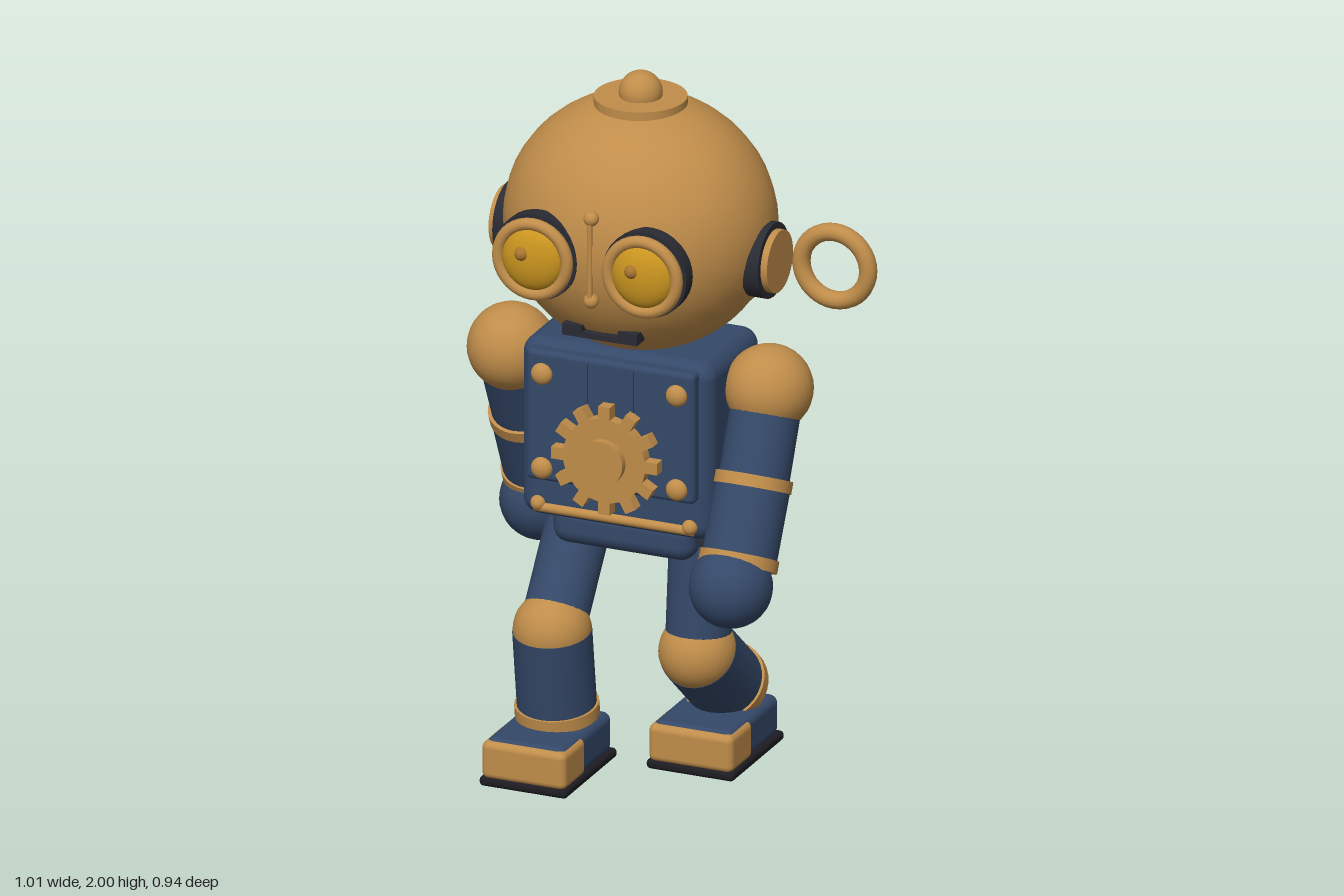
import * as THREE from 'three';
import { RoundedBoxGeometry } from 'three/addons/geometries/RoundedBoxGeometry.js';

const mat = (name, color) => {
  const m = new THREE.MeshStandardMaterial({ color });
  m.name = name;
  return m;
};

export function createModel() {
  const brass = mat('brass', 0xc08d4a);
  const navy = mat('navy', 0x344868);
  const dark = mat('charcoal', 0x2a2b33);
  const sole = mat('sole black', 0x1c1c22);
  const amber = mat('amber', 0xc9941f);
  const copper = mat('copper', 0xa8752f);

  const robot = new THREE.Group();
  robot.name = 'robot';
  const group = (name) => {
    const g = new THREE.Group();
    g.name = name;
    robot.add(g);
    return g;
  };
  const add = (parent, name, geo, material, x = 0, y = 0, z = 0) => {
    const m = new THREE.Mesh(geo, material);
    m.name = name;
    m.position.set(x, y, z);
    parent.add(m);
    return m;
  };
  const ball = (r) => new THREE.SphereGeometry(r, 28, 18);
  const disc = (r, h, axis = 'y') => {
    const g = new THREE.CylinderGeometry(r, r, h, 32);
    if (axis === 'z') g.rotateX(Math.PI / 2);
    if (axis === 'x') g.rotateZ(Math.PI / 2);
    return g;
  };
  const rbox = (w, h, d, r) => new RoundedBoxGeometry(w, h, d, 4, r);
  const up = new THREE.Vector3(0, 1, 0);
  // Cylinder running from a to b
  const limb = (parent, name, a, b, r, material) => {
    const dir = b.clone().sub(a);
    const m = add(parent, name, disc(r, dir.length()), material);
    m.position.copy(a).lerp(b, 0.5);
    m.quaternion.setFromUnitVectors(up, dir.normalize());
    return m;
  };
  // Short collar centred on point p, facing along a to b
  const band = (parent, name, p, a, b, r, h) => {
    const half = b.clone().sub(a).setLength(h / 2);
    limb(parent, name, p.clone().sub(half), p.clone().add(half), r, brass);
  };

  // Head
  const head = group('head');
  add(head, 'skull', new THREE.SphereGeometry(1, 32, 24), brass, 0, 1.57, 0.06).scale.set(0.38, 0.36, 0.345);
  add(head, 'crownPlate', disc(0.128, 0.025), brass, 0, 1.917, 0.06);
  add(head, 'crownKnob', ball(0.06), brass, 0, 1.94, 0.06);
  for (const s of [-1, 1]) {
    add(head, 'earRing', disc(0.106, 0.05, 'x'), dark, s * 0.369, 1.51, 0.06);
    add(head, 'earCap', disc(0.088, 0.05, 'x'), brass, s * 0.388, 1.51, 0.06);
    const x = s * 0.163;
    add(head, 'eyeCup', disc(0.124, 0.042, 'z'), dark, x, 1.555, 0.381);
    add(head, 'eyePlate', disc(0.112, 0.018, 'z'), brass, x, 1.555, 0.409);
    add(head, 'eyeRim', new THREE.TorusGeometry(0.102, 0.017, 12, 36), brass, x, 1.555, 0.418);
    add(head, 'eyeLens', ball(0.09), amber, x, 1.555, 0.415).scale.z = 0.45;
    add(head, 'eyeGlint', ball(0.02), copper, x - 0.02, 1.578, 0.446);
    add(head, 'mouthCorner', new THREE.BoxGeometry(0.058, 0.032, 0.05), dark, s * 0.082, 1.331, 0.312);
  }
  add(head, 'mouthBar', new THREE.BoxGeometry(0.22, 0.015, 0.05), dark, 0, 1.321, 0.312);
  add(head, 'noseRod', disc(0.007, 0.24), brass, 0, 1.57, 0.403);
  for (const y of [1.69, 1.45]) add(head, 'noseBead', ball(0.021), brass, 0, y, 0.393);

  // Torso
  const torso = group('torso');
  add(torso, 'body', rbox(0.57, 0.52, 0.36, 0.05), navy, 0, 0.982, 0.06);
  add(torso, 'pelvis', rbox(0.42, 0.12, 0.29, 0.045), navy, 0, 0.697, 0.06);
  add(torso, 'chestPlate', rbox(0.5, 0.38, 0.05, 0.015), navy, 0, 1.035, 0.245);
  for (const s of [-1, 1]) {
    add(torso, 'chestSeam', new THREE.BoxGeometry(0.008, 0.34, 0.008), navy, s * 0.068, 1.04, 0.272);
    for (const y of [1.16, 0.885]) add(torso, 'rivet', ball(0.031), brass, s * 0.2, y, 0.272).scale.z = 0.7;
    add(torso, 'trimEnd', ball(0.022), brass, s * 0.225, 0.768, 0.238);
  }
  add(torso, 'waistTrim', disc(0.014, 0.47, 'x'), brass, 0, 0.757, 0.238);

  // Chest gear
  const gear = group('chestGear');
  gear.position.set(0, 0.95, 0.29);
  add(gear, 'gearDisc', disc(0.122, 0.035, 'z'), brass);
  add(gear, 'gearHub', disc(0.064, 0.03, 'z'), brass, 0, 0, 0.025);
  for (let i = 0; i < 12; i++) {
    const a = (i / 12) * Math.PI * 2;
    const tooth = add(gear, 'gearTooth', new THREE.BoxGeometry(0.055, 0.034, 0.035), brass,
      Math.cos(a) * 0.13, Math.sin(a) * 0.13, 0);
    tooth.rotation.z = a;
  }

  // Backpack with vents
  const pack = group('backpack');
  add(pack, 'packBox', rbox(0.33, 0.305, 0.13, 0.045), navy, 0, 0.973, -0.152);
  for (const y of [1.055, 0.98, 0.905]) add(pack, 'vent', rbox(0.2, 0.02, 0.025, 0.006), dark, 0, y, -0.216);

  // Wind-up key
  const key = group('windUpKey');
  key.position.set(0.19, 1.302, -0.445);
  add(key, 'keyShaft', disc(0.039, 0.31, 'z'), brass, 0, 0, 0.16);
  add(key, 'keyBar', disc(0.014, 0.12, 'x'), brass);
  for (const s of [-1, 1])
    add(key, 'keyLoop', new THREE.TorusGeometry(0.099, 0.025, 14, 36), brass, s * 0.163, 0, 0);

  // Arms: joints given as [y, z]
  const arm = (name, x, joints) => {
    const g = group(name);
    const [sh, el, wr, ha] = joints.map(([y, z]) => new THREE.Vector3(x, y, z));
    add(g, 'shoulder', ball(0.122), brass).position.copy(sh);
    limb(g, 'upperArm', sh, el, 0.097, navy);
    add(g, 'elbow', ball(0.097), navy).position.copy(el);
    limb(g, 'forearm', el, wr, 0.103, navy);
    band(g, 'elbowBand', el, sh, wr, 0.107, 0.034);
    band(g, 'wristBand', wr, el, wr, 0.109, 0.034);
    add(g, 'hand', ball(0.115), navy).position.copy(ha);
  };
  arm('leftArm', 0.382, [[1.137, 0.063], [0.9, 0.168], [0.705, 0.267], [0.65, 0.32]]);
  arm('rightArm', -0.382, [[1.137, 0.063], [0.908, -0.045], [0.712, -0.135], [0.618, -0.138]]);

  // Legs: joints given as [y, z], then the foot's middle z
  const leg = (name, x, joints, footZ) => {
    const g = group(name);
    const [hip, knee, ankle] = joints.map(([y, z]) => new THREE.Vector3(x, y, z));
    add(g, 'hip', ball(0.088), dark).position.copy(hip);
    limb(g, 'thigh', hip, knee, 0.09, navy);
    add(g, 'knee', ball(0.108), brass).position.copy(knee);
    limb(g, 'shin', knee, ankle, 0.109, navy);
    band(g, 'ankleBand', ankle, knee, ankle, 0.116, 0.036);
    add(g, 'foot', rbox(0.24, 0.115, 0.33, 0.025), navy, x, 0.08, footZ);
    add(g, 'toeCap', rbox(0.25, 0.11, 0.148, 0.02), brass, x, 0.076, footZ + 0.1);
    add(g, 'sole', rbox(0.26, 0.028, 0.35, 0.012), sole, x, 0.014, footZ);
  };
  leg('rightLeg', -0.182, [[0.66, 0.06], [0.405, 0.243], [0.165, 0.21]], 0.27);
  leg('leftLeg', 0.182, [[0.665, 0.06], [0.345, 0.088], [0.185, -0.1]], -0.028);

  return robot;
}
